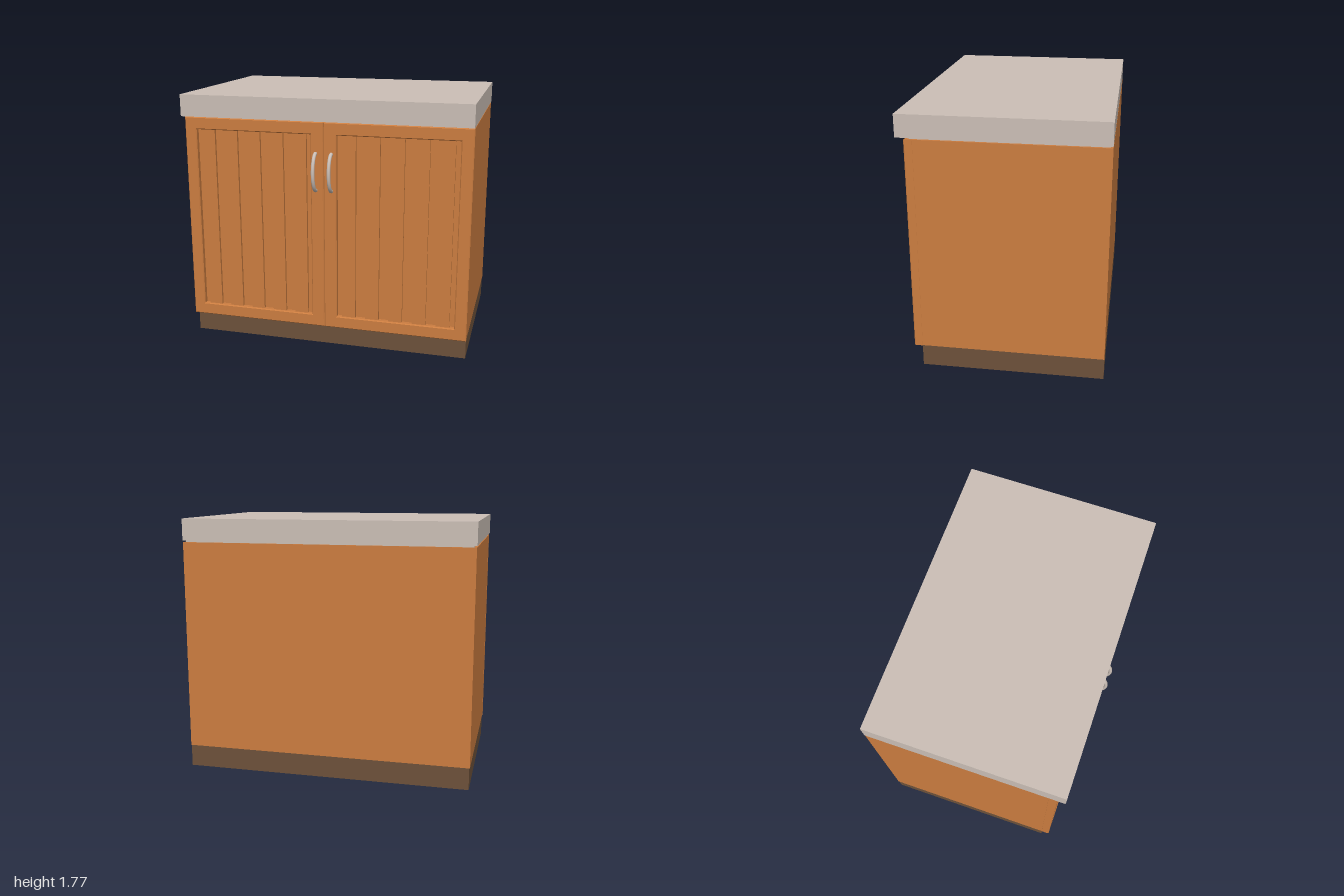
import * as THREE from 'three';

const wood = new THREE.MeshStandardMaterial({ color: 0xcc7d40 });
wood.name = 'orange wood';
const stone = new THREE.MeshStandardMaterial({ color: 0xcbbfb6 });
stone.name = 'pale grey';
const plinthBrown = new THREE.MeshStandardMaterial({ color: 0x6d513a });
plinthBrown.name = 'dark brown';

// Box given by its min and max corners
function box(name, material, [x0, y0, z0], [x1, y1, z1]) {
  const mesh = new THREE.Mesh(new THREE.BoxGeometry(x1 - x0, y1 - y0, z1 - z0), material);
  mesh.position.set((x0 + x1) / 2, (y0 + y1) / 2, (z0 + z1) / 2);
  mesh.name = name;
  return mesh;
}

function rect(path, x0, y0, x1, y1) {
  path.moveTo(x0, y0);
  path.lineTo(x1, y0);
  path.lineTo(x1, y1);
  path.lineTo(x0, y1);
  path.closePath();
  return path;
}

// Door frame with a slatted recessed panel and an arched handle
function makeDoor(side) {
  const door = new THREE.Group();
  door.name = side > 0 ? 'leftDoor' : 'rightDoor';
  const span = (a, b) => (side > 0 ? [a, b] : [-b, -a]);

  const [fx0, fx1] = span(0, 0.998);
  const [hx0, hx1] = span(0.09, 0.915);
  const shape = rect(new THREE.Shape(), fx0, 0.15, fx1, 1.61);
  shape.holes.push(rect(new THREE.Path(), hx0, 0.235, hx1, 1.525));
  const bevel = 0.006;
  const geometry = new THREE.ExtrudeGeometry(shape, {
    depth: 0.05, bevelEnabled: true, bevelSegments: 1,
    bevelThickness: bevel, bevelSize: bevel, bevelOffset: -bevel,
  });
  const frame = new THREE.Mesh(geometry, wood);
  frame.position.z = 0.605 - 0.05 - bevel;
  frame.name = 'doorFrame';
  door.add(frame);

  // Five raised vertical slats
  for (let i = 0; i < 5; i++) {
    const start = 0.125 + i * 0.165;
    const [x0, x1] = span(start, start + 0.095);
    door.add(box('slat', wood, [x0, 0.23, 0.56], [x1, 1.53, 0.59]));
  }

  // Half-ellipse handle
  const points = [];
  for (let i = 0; i <= 16; i++) {
    const a = -Math.PI / 2 + (i / 16) * Math.PI;
    points.push(new THREE.Vector3(side * 0.055, 1.27 + 0.128 * Math.sin(a), 0.598 + 0.0745 * Math.cos(a)));
  }
  const handle = new THREE.Mesh(
    new THREE.TubeGeometry(new THREE.CatmullRomCurve3(points), 32, 0.0125, 12), stone);
  handle.name = 'handle';
  door.add(handle);
  return door;
}

export function createModel() {
  const model = new THREE.Group();
  model.name = 'baseCabinet';
  model.add(
    box('plinth', plinthBrown, [-0.993, 0, -0.685], [0.993, 0.152, 0.55]),
    box('carcass', wood, [-0.997, 0.152, -0.685], [0.997, 1.609, 0.57]),
    // Narrow shadow gap under the worktop
    box('worktopSpacer', stone, [-0.98, 1.6, -0.67], [0.98, 1.625, 0.58]),
    box('worktop', stone, [-1, 1.62, -0.685], [1, 1.77, 0.658]),
    makeDoor(-1),
    makeDoor(1),
  );
  return model;
}
